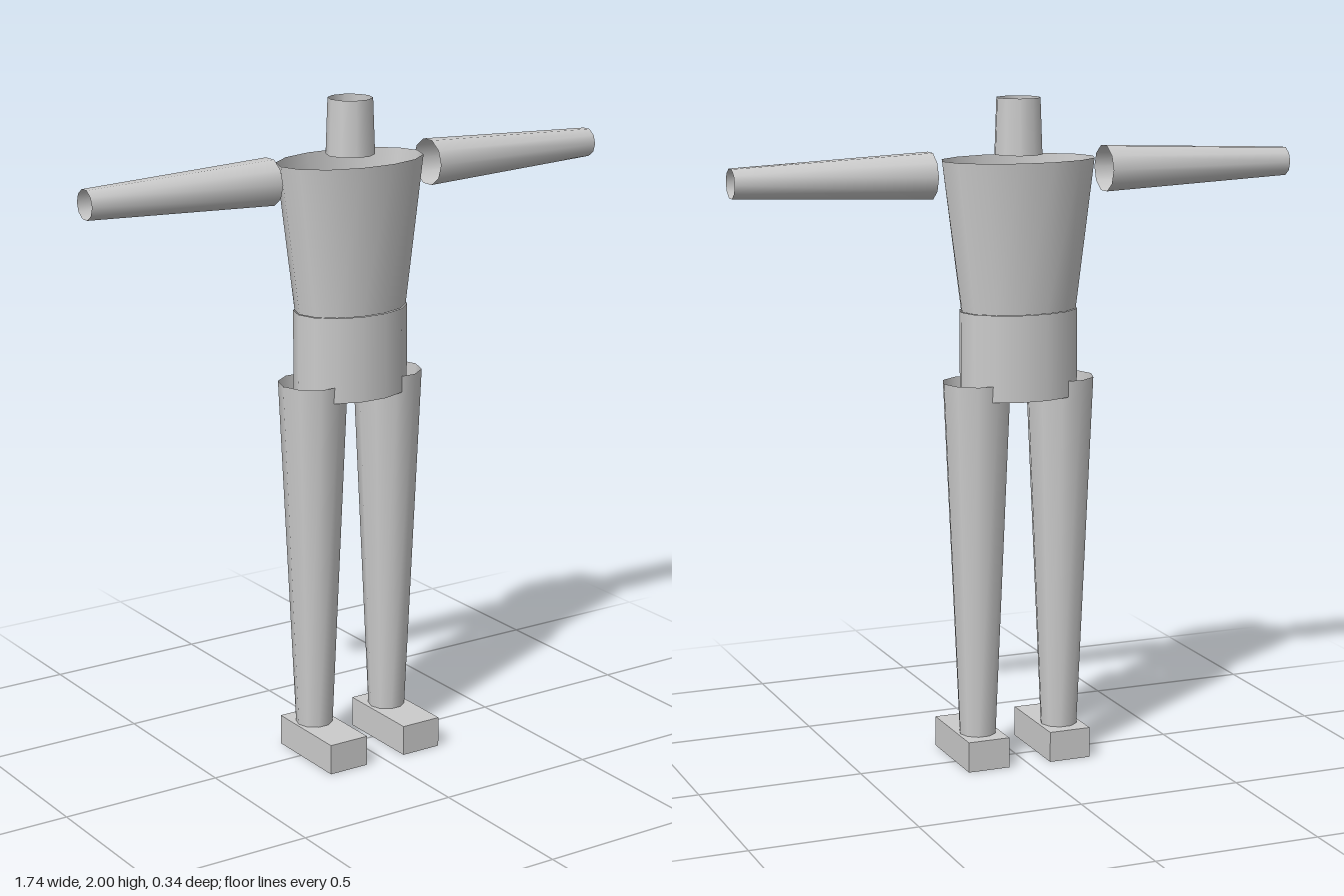
import * as THREE from 'three';

const BODY_Z = -0.022; // depth of the body axis

export function createModel() {
  const model = new THREE.Group();
  model.name = 'mannequin';
  const lightGrey = new THREE.MeshStandardMaterial({ color: 0xcccccc, side: THREE.DoubleSide });
  lightGrey.name = 'light grey';

  const add = (name, geometry, x, y, z) => {
    const mesh = new THREE.Mesh(geometry, lightGrey);
    mesh.name = name;
    mesh.position.set(x, y, z);
    model.add(mesh);
    return mesh;
  };

  // Open tapered tube standing between two heights; depth squashes it into an oval
  const tube = (name, x, rTop, rBottom, yTop, yBottom, sides, depth = 1) => {
    const g = new THREE.CylinderGeometry(rTop, rBottom, yTop - yBottom, sides, 1, true, Math.PI / 2);
    g.scale(1, 1, depth);
    return add(name, g, x, (yTop + yBottom) / 2, BODY_Z);
  };

  // Trunk
  tube('neck', 0, 0.066, 0.072, 2, 1.835, 10);
  const chest = tube('chest', 0, 0.238, 0.178, 1.822, 1.379, 14);
  // The chest flattens more towards the shoulders
  const p = chest.geometry.attributes.position;
  for (let i = 0; i < p.count; i++) p.setZ(i, p.getZ(i) * (p.getY(i) > 0 ? 0.627 : 0.71));
  chest.geometry.computeVertexNormals();
  // Match the normals across the seam
  const n = chest.geometry.attributes.normal;
  for (let i = 0; i < p.count; i++) {
    const v = new THREE.Vector3(p.getX(i), 0, p.getZ(i) / (p.getY(i) > 0 ? 0.393 : 0.504)).normalize();
    v.y = -0.1;
    v.normalize();
    n.setXYZ(i, v.x, v.y, v.z);
  }
  tube('hips', 0, 0.182, 0.182, 1.379, 1.122, 14, 0.725);

  // Limbs, mirrored
  for (const [side, s] of [['left', 1], ['right', -1]]) {
    const arm = add(side + 'Arm', new THREE.CylinderGeometry(0.044, 0.07, 0.598, 10, 1, true),
      s * 0.573, 1.783, BODY_Z);
    arm.rotation.z = -s * Math.PI / 2;

    const leg = tube(side + 'Leg', s * 0.133, 0.103, 0.056, 1.17, 0.093, 10);
    leg.position.z = BODY_Z;

    add(side + 'Foot', new THREE.BoxGeometry(0.13, 0.093, 0.283), s * 0.132, 0.0465, 0.028);
  }
  return model;
}
